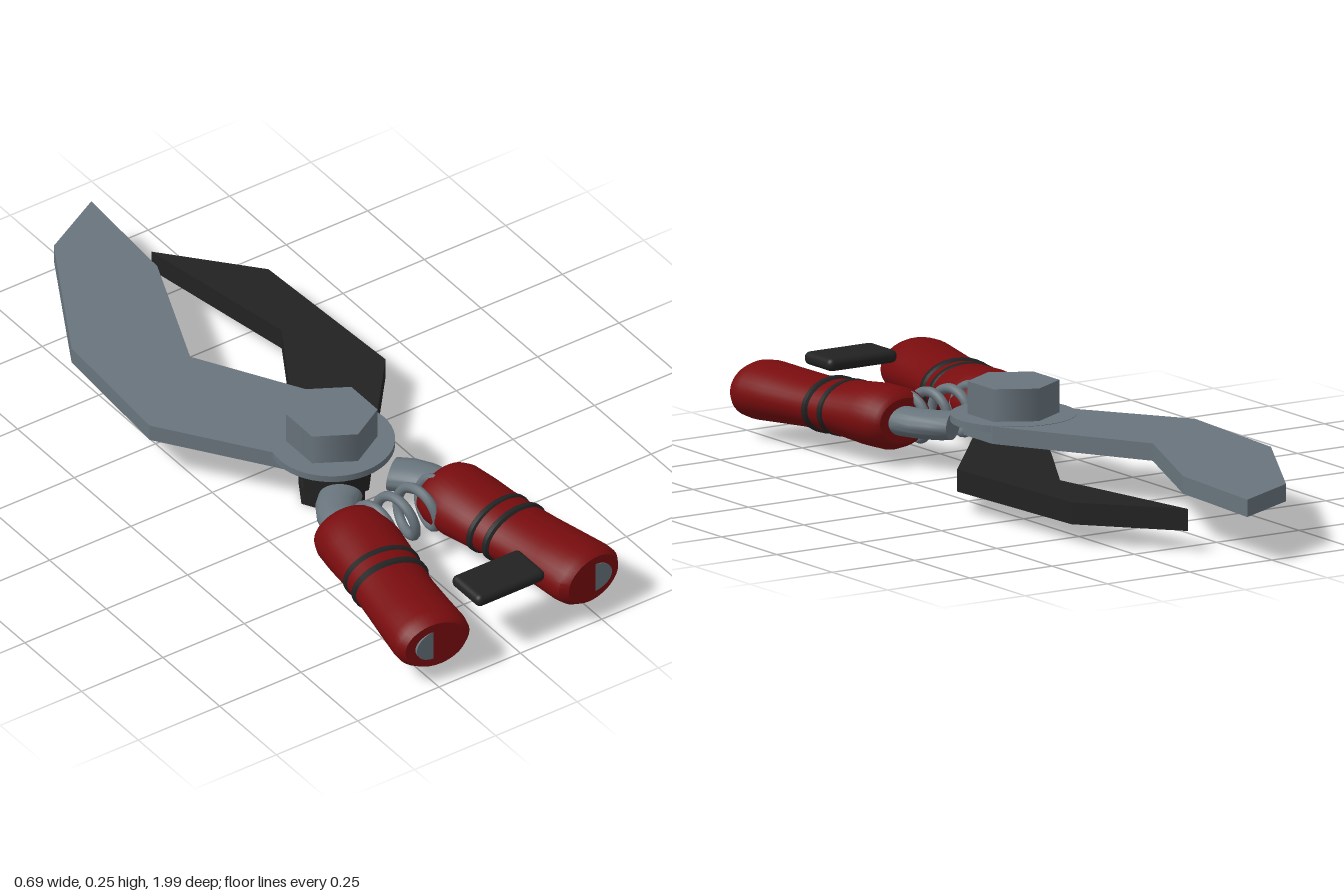
import * as THREE from 'three';
import { toCreasedNormals } from 'three/addons/utils/BufferGeometryUtils.js';
import { RoundedBoxGeometry } from 'three/addons/geometries/RoundedBoxGeometry.js';

const MID = 0.115; // height of the handle axis
const PIVOT = 0.168; // z of the pivot bolt

// Elliptical sections [x, z, yaw, rx, ry] joined into a closed body.
function loft(sections, side, segments = 36) {
  const pos = [], index = [];
  sections.forEach(([x, z, yaw, rx, ry]) => {
    const turn = yaw * side;
    for (let i = 0; i < segments; i++) {
      const a = (i / segments) * Math.PI * 2;
      const u = Math.cos(a) * rx;
      pos.push(x * side + u * Math.cos(turn), MID + Math.sin(a) * ry, z - u * Math.sin(turn));
    }
  });
  const rings = sections.length;
  const first = rings * segments, last = first + 1;
  for (const s of [sections[0], sections[rings - 1]]) pos.push(s[0] * side, MID, s[1]);
  for (let i = 0; i < segments; i++) {
    const j = (i + 1) % segments;
    for (let r = 0; r < rings - 1; r++) {
      const a = r * segments, b = a + segments;
      index.push(a + i, a + j, b + j, a + i, b + j, b + i);
    }
    const e = (rings - 1) * segments;
    index.push(first, j, i, last, e + i, e + j);
  }
  const geo = new THREE.BufferGeometry();
  geo.setAttribute('position', new THREE.Float32BufferAttribute(pos, 3));
  geo.setIndex(index);
  return toCreasedNormals(geo, 0.6);
}

// Flat plate from an [x, z] outline, between two heights.
function plate(outline, bottom, top) {
  const shape = new THREE.Shape(outline.map(([x, z]) => new THREE.Vector2(x, -z)));
  const geo = new THREE.ExtrudeGeometry(shape, { depth: top - bottom, bevelEnabled: false });
  return geo.rotateX(-Math.PI / 2).translate(0, bottom, 0);
}

// Upright cylinder on the pivot axis.
function pivotPart(radius, bottom, top, sides, turn = 0) {
  const geo = new THREE.CylinderGeometry(radius, radius, top - bottom, sides);
  return geo.rotateY(turn).translate(0, (bottom + top) / 2, PIVOT);
}

export function createModel() {
  const steel = new THREE.MeshStandardMaterial({ color: 0x68747c });
  const black = new THREE.MeshStandardMaterial({ color: 0x222222 });
  const red = new THREE.MeshStandardMaterial({ color: 0x780c0e });
  steel.name = 'steel grey';
  black.name = 'black';
  red.name = 'dark red';

  const model = new THREE.Group();
  model.name = 'pruningShears';
  const add = (name, geo, mat, parent = model) => {
    const mesh = new THREE.Mesh(geo, mat);
    mesh.name = name;
    parent.add(mesh);
    return mesh;
  };

  // Blades
  add('upperBlade', plate([
    [0.075, -1], [-0.11, -0.9], [-0.32, -0.52], [-0.345, -0.14], [-0.155, 0.13],
    [-0.06, 0.27], [0.05, 0.29], [0.13, 0.2], [0.13, 0.07], [-0.095, -0.32], [0.055, -0.68],
  ], 0.12, 0.165), steel);
  add('lowerBlade', plate([
    [0.12, -0.8], [0.32, -0.57], [0.345, -0.09], [0.16, 0.13], [0.04, 0.275],
    [-0.04, 0.275], [-0.1, 0.19], [0.05, -0.08], [0.2, -0.34],
  ], 0.053, 0.11), black);

  // Pivot
  add('pivotDisc', pivotPart(0.16, 0.148, 0.166, 48), steel);
  add('pivotPin', pivotPart(0.05, 0.05, 0.15, 24), steel);
  add('boltHead', pivotPart(0.116, 0.16, 0.25, 6), steel);
  add('nut', pivotPart(0.093, 0, 0.055, 6, Math.PI / 6), black);

  // Handles, mirrored left and right
  for (const side of [1, -1]) {
    const handle = new THREE.Group();
    handle.name = side > 0 ? 'leftHandle' : 'rightHandle';
    model.add(handle);

    add('handleCore', loft([
      [0.08, 0.322, 0.65, 0.055, 0.036], [0.112, 0.352, 0.6, 0.055, 0.037],
      [0.137, 0.39, 0.42, 0.053, 0.037], [0.15, 0.43, 0.2, 0.052, 0.038],
      [0.16, 0.52, 0.1, 0.052, 0.04], [0.24, 0.93, 0.12, 0.055, 0.041],
      [0.243, 0.974, 0, 0.057, 0.042],
    ], side), steel, handle);

    add('grip', loft([
      [0.15, 0.437, 0.1, 0.08, 0.058], [0.151, 0.447, 0.1, 0.092, 0.07],
      [0.153, 0.475, 0.1, 0.102, 0.08], [0.16, 0.54, 0.12, 0.106, 0.08],
      [0.172, 0.61, 0.14, 0.103, 0.073], [0.187, 0.68, 0.15, 0.1, 0.067],
      [0.204, 0.76, 0.15, 0.099, 0.066], [0.22, 0.85, 0.15, 0.102, 0.071],
      [0.233, 0.93, 0.15, 0.105, 0.076], [0.238, 0.957, 0.15, 0.102, 0.073],
      [0.242, 0.975, 0.15, 0.086, 0.064],
    ], side), red, handle);

    // Two rubber rings on each grip
    for (const [x, z] of [[0.179, 0.645], [0.19, 0.698]]) {
      add('gripBand', loft([
        [x - 0.0015, z - 0.011, 0.15, 0.1, 0.067], [x - 0.0008, z - 0.006, 0.15, 0.106, 0.073],
        [x + 0.0008, z + 0.006, 0.15, 0.106, 0.073], [x + 0.0015, z + 0.011, 0.15, 0.1, 0.067],
      ], side), black, handle);
    }
  }

  // Coil spring between the handles
  const coil = [];
  const turns = 3.5, steps = 84;
  for (let i = 0; i <= steps; i++) {
    const t = i / steps - 0.5;
    const a = t * turns * Math.PI * 2;
    coil.push(new THREE.Vector3(t * 0.23, 0.113 - Math.sin(a) * 0.058, 0.475 + Math.cos(a) * 0.062));
  }
  add('spring', new THREE.TubeGeometry(new THREE.CatmullRomCurve3(coil), 220, 0.013, 10), steel);

  // Locking catch between the handle ends
  add('lockingCatch', new RoundedBoxGeometry(0.21, 0.034, 0.125, 4, 0.016).translate(0, 0.176, 0.903), black);

  return model;
}
